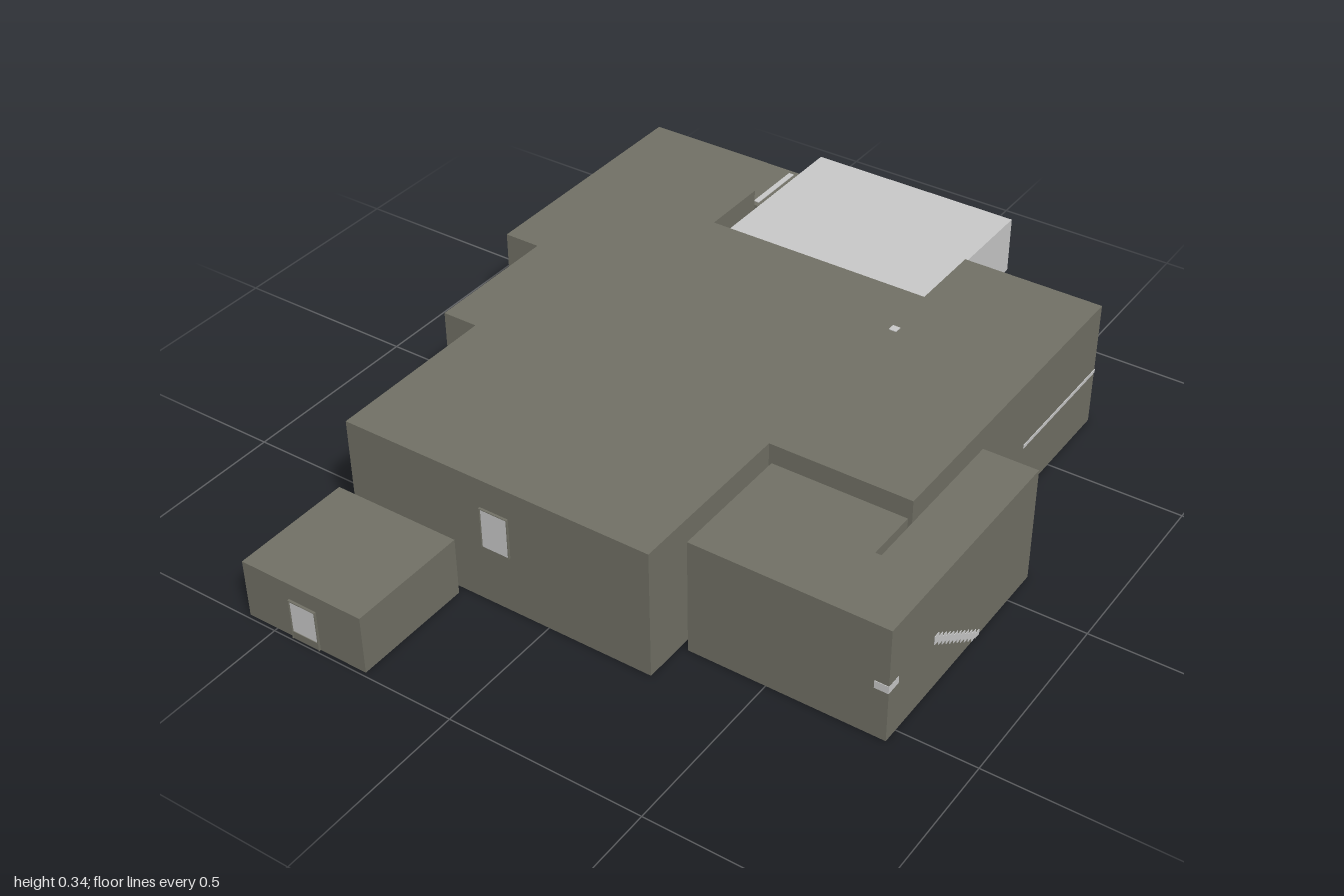
import * as THREE from 'three';

const stone = new THREE.MeshStandardMaterial({ color: 0x737267 });
const grey = new THREE.MeshStandardMaterial({ color: 0xcccccc });

// Room with a plan outline of [x, z] corners, from the ground to a flat roof
function room(name, outline, height) {
  const shape = new THREE.Shape(outline.map(([x, z]) => new THREE.Vector2(x, -z)));
  const geo = new THREE.ExtrudeGeometry(shape, { depth: height, bevelEnabled: false });
  geo.rotateX(-Math.PI / 2);
  const mesh = new THREE.Mesh(geo, stone);
  mesh.name = name;
  return mesh;
}

// Box given by its limits on each axis
function block(name, [x0, x1], [y0, y1], [z0, z1], material = stone) {
  const mesh = new THREE.Mesh(new THREE.BoxGeometry(x1 - x0, y1 - y0, z1 - z0), material);
  mesh.position.set((x0 + x1) / 2, (y0 + y1) / 2, (z0 + z1) / 2);
  mesh.name = name;
  return mesh;
}

// Opening in a wall: a thin frame with a pale panel just inside its edge.
// angle turns it from facing +z
function opening(name, x, y, z, angle, sill = 0) {
  const w = 0.078, h = 0.11, rim = 0.002;
  const group = new THREE.Group();
  group.name = name;
  const side = w / 2;
  group.add(
    block('jamb', [-side, -side + rim], [0, h], [0, 0.006]),
    block('jamb', [side - rim, side], [0, h], [0, 0.006]),
    block('lintel', [-side, side], [h - rim, h], [0, 0.006]),
    block('panel', [-side + rim, side - rim], [sill, h - rim], [0, 0.002], grey)
  );
  if (sill) group.add(block('sill', [-side, side], [0, sill], [0, 0.004]));
  group.position.set(x, y, z);
  group.rotation.y = angle;
  return group;
}

export function createModel() {
  const model = new THREE.Group();
  model.name = 'building';

  // Rooms
  model.add(
    room('mainHall', [
      [-0.65, -0.705], [-0.345, -0.705], [-0.345, -0.515], [0.27, -0.515],
      [0.27, -0.72], [0.645, -0.72], [0.645, 0.19], [0.277, 0.19],
      [0.277, 0.652], [-0.555, 0.652], [-0.555, 0.19], [-0.65, 0.19]
    ], 0.342),
    room('leftAnnex', [
      [-0.805, -0.925], [-0.345, -0.925], [-0.345, -0.722],
      [-0.665, -0.722], [-0.665, -0.243], [-0.805, -0.243]
    ], 0.287),
    room('rightAnnex', [
      [0.66, -0.098], [0.8, -0.098], [0.8, 0.54], [0.297, 0.54],
      [0.297, 0.21], [0.645, 0.21], [0.645, 0.347], [0.66, 0.347]
    ], 0.308),
    block('porch', [-0.582, -0.242], [0, 0.155], [0.671, 0.99]),
    block('raisedRoom', [-0.324, 0.255], [0.157, 0.31], [-1, -0.536], grey)
  );

  // Openings on the outer walls
  model.add(
    opening('frontWindow', -0.138, 0.155, 0.652, 0),
    opening('backWindow', -0.138, 0.155, -0.515, Math.PI),
    opening('leftWindow', -0.555, 0.155, 0.402, -Math.PI / 2),
    opening('rightWindow', 0.277, 0.155, 0.402, Math.PI / 2),
    opening('porchDoor', -0.411, 0, 0.99, 0, 0.02)
  );

  // Thin door slabs on both sides of the narrow gaps along z
  const gaps = [
    [-0.665, -0.65, -0.365, 0],
    [0.645, 0.66, 0.025, 0],
    [0.255, 0.27, -0.635, 0.155],
    [-0.345, -0.324, -0.825, 0.155],
    [0.277, 0.297, 0.402, 0.155]
  ];
  for (const [x0, x1, z, y] of gaps) {
    model.add(
      block('gapDoor', [x0, x0 + 0.005], [y, y + 0.11], [z - 0.038, z + 0.038]),
      block('gapDoor', [x1 - 0.005, x1], [y, y + 0.11], [z - 0.038, z + 0.038])
    );
  }

  // Wider doorways facing front and back
  model.add(
    block('porchPassage', [-0.465, -0.355], [0, 0.12], [0.652, 0.658]),
    block('porchPassage', [-0.465, -0.355], [0, 0.12], [0.666, 0.671]),
    block('annexPassage', [0.32, 0.615], [0.155, 0.265], [0.19, 0.21]),
    block('raisedPassage', [-0.065, 0.23], [0.16, 0.27], [-0.536, -0.515])
  );

  // Pale floor edges flush with the walls
  model.add(
    block('hallFloorEdge', [0.6, 0.6465], [0.146, 0.156], [-0.7205, -0.347], grey),
    block('annexFloorEdge', [0.765, 0.8005], [0.136, 0.156], [0.5, 0.5415], grey),
    block('leftAnnexLedge', [-0.368, -0.353], [0.27, 0.289], [-0.91, -0.737], grey),
    block('roofPin', [0.27, 0.29], [0.33, 0.344], [-0.365, -0.345], grey)
  );

  // Stair edge showing on the right annex wall
  const stair = new THREE.Group();
  stair.name = 'stairEdge';
  const steps = 12;
  for (let i = 0; i < steps; i++) {
    const z = 0.35 - (i * 0.215) / steps;
    const y = 0.152 - (i * 0.15) / steps;
    stair.add(block('step', [0.77, 0.8015], [Math.max(0, y - 0.024), y], [z - 0.018, z], grey));
  }
  model.add(stair);

  return model;
}
